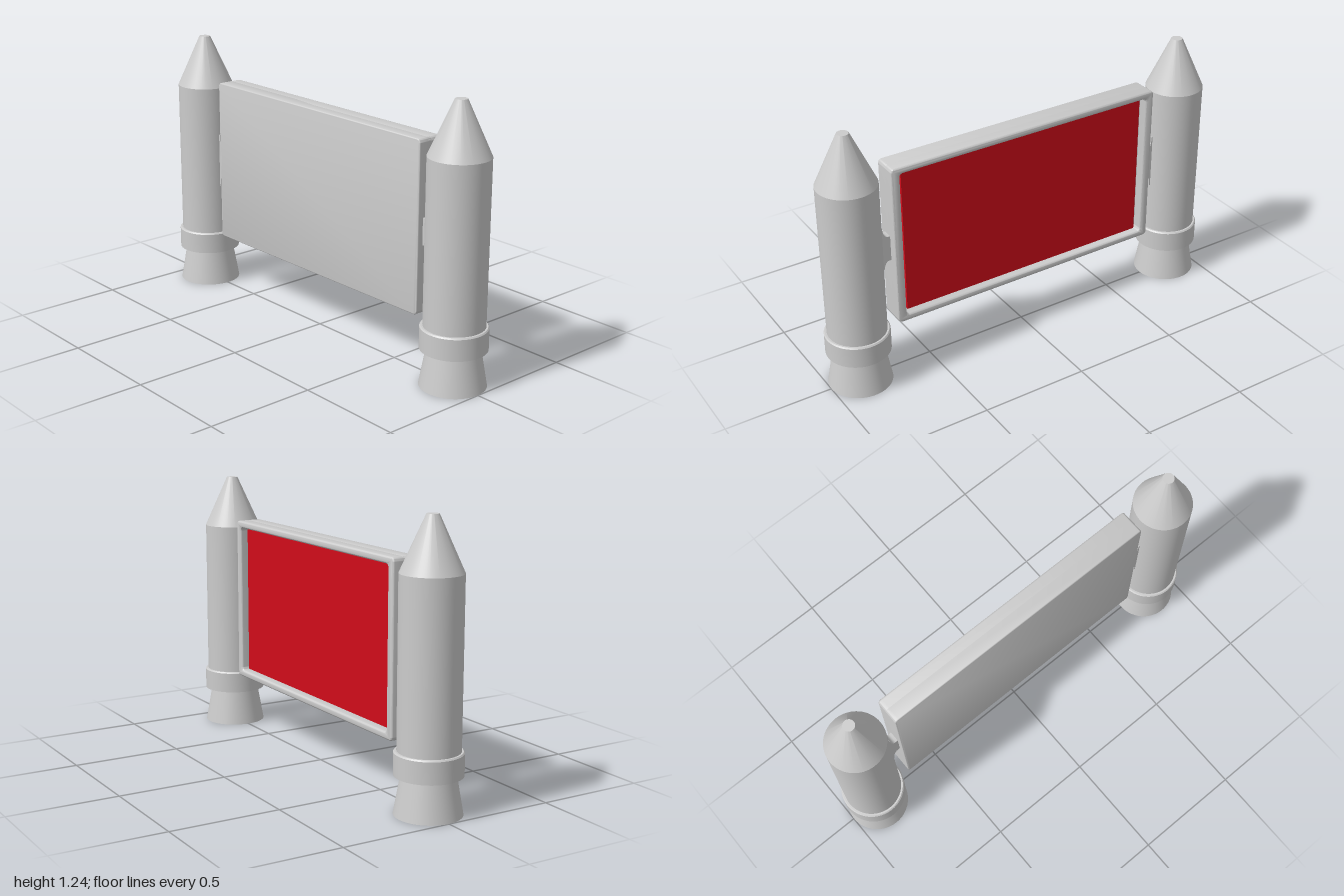
import * as THREE from 'three';
import { toCreasedNormals } from 'three/addons/utils/BufferGeometryUtils.js';

const grey = new THREE.MeshStandardMaterial({ color: 0xcccccc });
const red = new THREE.MeshStandardMaterial({ color: 0xd00c1a });

function add(parent, name, geometry, material = grey) {
  const mesh = new THREE.Mesh(geometry, material);
  mesh.name = name;
  parent.add(mesh);
  return mesh;
}

// Rounded rectangle centred on the origin
function roundedRect(w, h, r, Type = THREE.Shape) {
  const s = new Type(), x = w / 2 - r, y = h / 2 - r;
  s.absarc(x, y, r, 0, Math.PI / 2);
  s.absarc(-x, y, r, Math.PI / 2, Math.PI);
  s.absarc(-x, -y, r, Math.PI, Math.PI * 1.5);
  s.absarc(x, -y, r, Math.PI * 1.5, Math.PI * 2);
  s.closePath();
  return s;
}

// Extrude a side-on shape (across z, up y) from x0 to x1 with rounded edges
function slab(shape, x0, x1, bevel) {
  const g = new THREE.ExtrudeGeometry(shape, {
    depth: x1 - x0 - 2 * bevel, curveSegments: 6,
    bevelEnabled: bevel > 0, bevelThickness: bevel, bevelSize: bevel,
    bevelOffset: -bevel, bevelSegments: 4,
  });
  g.translate(0, 0, x0 + bevel);
  g.rotateY(Math.PI / 2);
  return toCreasedNormals(g, 0.6);
}

// Turned part from [radius, height] pairs
function turned(points) {
  const g = new THREE.LatheGeometry(points.map(([r, y]) => new THREE.Vector2(r, y)), 64);
  return toCreasedNormals(g, 0.35);
}

function createBooster() {
  const booster = new THREE.Group();
  add(booster, 'nozzle', turned([[0, 0], [0.145, 0], [0.115, 0.17], [0, 0.17]]));
  add(booster, 'collar', turned([[0, 0.168], [0.146, 0.168], [0.146, 0.264], [0.141, 0.27], [0, 0.27]]));
  add(booster, 'body', turned([[0, 0.26], [0.133, 0.26], [0.133, 1.0], [0, 1.0]]));
  add(booster, 'noseCone', turned([[0, 1.0], [0.133, 1.0], [0.026, 1.236], [0, 1.236]]));
  return booster;
}

// Arm that flares out where it meets the booster
function createBracket() {
  const s = new THREE.Shape();
  s.moveTo(0.66, -0.06);
  s.lineTo(0.69, -0.06);
  s.quadraticCurveTo(0.716, -0.06, 0.718, -0.13);
  s.lineTo(0.74, -0.13);
  s.lineTo(0.74, 0.13);
  s.lineTo(0.718, 0.13);
  s.quadraticCurveTo(0.716, 0.06, 0.69, 0.06);
  s.lineTo(0.66, 0.06);
  s.closePath();
  return slab(s, -0.024, 0.024, 0);
}

export function createModel() {
  const model = new THREE.Group();
  model.name = 'displayBetweenBoosters';

  // Two boosters with their mounting arms
  for (const side of [1, -1]) {
    const booster = createBooster();
    booster.name = side > 0 ? 'frontBooster' : 'backBooster';
    booster.position.z = 0.854 * side;
    model.add(booster);
    const bracket = add(model, side > 0 ? 'frontBracket' : 'backBracket', createBracket());
    bracket.position.y = 0.64;
    bracket.rotation.y = side > 0 ? Math.PI : 0;
  }

  // Display panel: housing, raised frame and recessed screen
  const panel = new THREE.Group();
  panel.name = 'displayPanel';
  panel.position.y = 0.656;
  model.add(panel);

  add(panel, 'housing', slab(roundedRect(1.36, 0.772, 0.018), -0.052, 0.02, 0.006));
  const frame = roundedRect(1.36, 0.772, 0.018);
  frame.holes.push(roundedRect(1.28, 0.708, 0.015, THREE.Path));
  add(panel, 'frame', slab(frame, -0.01, 0.068, 0.009));
  const screen = add(panel, 'screen', new THREE.BoxGeometry(0.03, 0.694, 1.245), red);
  screen.position.x = 0.024;

  return model;
}
